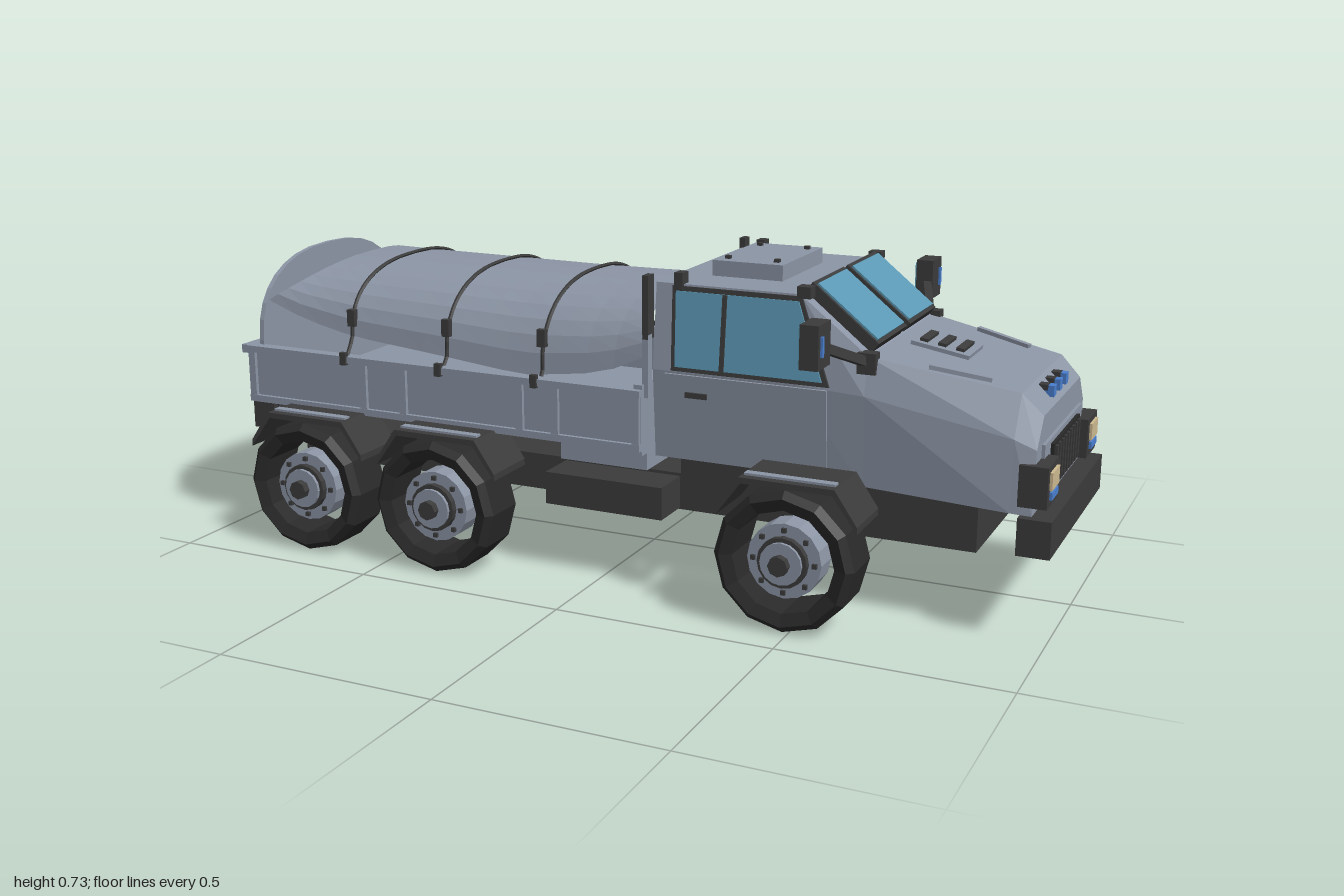
import * as THREE from 'three';

const paint = (name, color) => {
  const m = new THREE.MeshStandardMaterial({ color, flatShading: true });
  m.name = name;
  return m;
};

export function createModel() {
  const grey = paint('bodyGrey', 0x8c95a5), dark = paint('darkTrim', 0x3b3b3b), black = paint('tyreBlack', 0x2a2a2a);
  const glass = paint('glassBlue', 0x5b98b4), cream = paint('lampCream', 0xcdba90), blue = paint('lampBlue', 0x4a7fd0);
  const truck = new THREE.Group();
  truck.name = 'truck';

  const add = (name, geo, mat, x = 0, y = 0, z = 0, rot = [0, 0, 0]) => {
    const m = new THREE.Mesh(geo, mat);
    m.name = name;
    m.position.set(x, y, z);
    m.rotation.set(...rot);
    truck.add(m);
    return m;
  };
  const box = (name, mat, w, h, d, x, y, z, rot) => add(name, new THREE.BoxGeometry(w, h, d), mat, x, y, z, rot);
  // side-profile polygon extruded symmetrically about its own z
  const plate = (pts, depth) => new THREE.ExtrudeGeometry(
    new THREE.Shape(pts.map(p => new THREE.Vector2(...p))), { depth, bevelEnabled: false }).translate(0, 0, -depth / 2);
  // surface through rows of points
  const loft = (rows, caps) => {
    const n = rows[0].length, idx = [];
    for (let i = 0; i < rows.length - 1; i++) for (let j = 0; j < n - 1; j++) {
      const a = i * n + j, b = a + n;
      idx.push(a, b, a + 1, b, b + 1, a + 1);
    }
    if (caps) for (let j = 1; j < n - 2; j++) {
      const e = (rows.length - 1) * n;
      idx.push(0, j, j + 1, e, e + j + 1, e + j);
    }
    const g = new THREE.BufferGeometry();
    g.setAttribute('position', new THREE.Float32BufferAttribute(rows.flat(2), 3));
    g.setIndex(idx);
    const out = g.toNonIndexed();
    out.computeVertexNormals();
    return out;
  };

  // chassis
  box('chassisFrame', dark, 1.71, 0.085, 0.36, -0.025, 0.2, 0);
  box('frontBumper', dark, 0.07, 0.08, 0.53, 0.965, 0.235, 0);
  box('rearBumper', dark, 0.04, 0.05, 0.54, -0.91, 0.285, 0);
  box('bedMount', grey, 0.22, 0.08, 0.4, -0.035, 0.285, 0);
  box('cabMount', dark, 0.68, 0.06, 0.36, 0.49, 0.26, 0);

  // wheels, axles and mudguards
  const tyreProfile = [[0.113, -0.055], [0.14, -0.065], [0.155, -0.05], [0.155, 0.05], [0.14, 0.065], [0.113, 0.055], [0.113, -0.055]]
    .map(p => new THREE.Vector2(...p));
  const tyreGeo = new THREE.LatheGeometry(tyreProfile, 12).rotateX(Math.PI / 2);
  const disc = (r, h, n = 16) => new THREE.CylinderGeometry(r, r, h, n).rotateX(Math.PI / 2);
  const guard = [[-0.155, 0.24], [-0.1, 0.315], [0.1, 0.315], [0.155, 0.24], [0.155, 0.255], [0.105, 0.328], [-0.105, 0.328], [-0.155, 0.255]];
  for (const x of [-0.715, -0.36, 0.485]) {
    add('axle', disc(0.018, 0.62, 8), dark, x, 0.155, 0);
    box('differential', grey, 0.07, 0.035, 0.08, x, 0.14, 0);
    for (const s of [1, -1]) {
      add('tyre', tyreGeo, black, x, 0.16, s * 0.36);
      add('hub', disc(0.082, 0.06), grey, x, 0.16, s * 0.375);
      add('hubRing', disc(0.055, 0.02), dark, x, 0.16, s * 0.41);
      add('hubPlate', disc(0.046, 0.025), grey, x, 0.16, s * 0.415);
      add('hubCap', disc(0.022, 0.05, 8), dark, x, 0.16, s * 0.42);
      for (let k = 0; k < 8; k++) {
        const a = k * Math.PI / 4;
        box('hubBolt', dark, 0.01, 0.01, 0.01, x + 0.068 * Math.cos(a), 0.16 + 0.068 * Math.sin(a), s * 0.407);
      }
      add('mudguard', plate(guard, 0.14), dark, x, 0, s * 0.335);
      box('mudguardStrip', grey, 0.2, 0.006, 0.02, x, 0.33, s * 0.375);
    }
  }

  // load bed
  box('bedFloor', grey, 1.04, 0.03, 0.6, -0.415, 0.335, 0);
  box('bedHeadboard', grey, 0.02, 0.16, 0.6, 0.1, 0.39, 0);
  box('bedTailgate', grey, 0.025, 0.14, 0.6, -0.935, 0.39, 0);
  for (const z of [-0.145, 0.145]) box('tailgatePanel', grey, 0.012, 0.09, 0.25, -0.95, 0.39, z);
  box('tailgateRail', grey, 0.025, 0.02, 0.62, -0.948, 0.45, 0);
  box('towBracket', grey, 0.02, 0.08, 0.05, -0.985, 0.27, 0, [0, 0, -0.25]);
  box('towArm', dark, 0.07, 0.025, 0.03, -0.95, 0.285, 0);
  for (const s of [1, -1]) {
    box('bedSide', grey, 1.05, 0.14, 0.02, -0.415, 0.39, s * 0.295);
    box('bedTopRail', grey, 1.05, 0.016, 0.015, -0.415, 0.452, s * 0.307);
    box('bedBottomRail', grey, 1.05, 0.016, 0.015, -0.415, 0.33, s * 0.307);
    for (const x of [-0.93, -0.61, -0.5, -0.19, -0.1, 0.1]) box('bedPost', grey, 0.018, 0.12, 0.014, x, 0.39, s * 0.307);
    box('cornerPost', dark, 0.014, 0.14, 0.03, 0.113, 0.64, s * 0.275);
    box('headboardPost', grey, 0.014, 0.14, 0.02, 0.113, 0.51, s * 0.28);
    box('sideTank', dark, 0.29, 0.075, 0.1, 0.005, 0.2, s * 0.235);
    // tail lamps
    box('tailLampBox', dark, 0.06, 0.075, 0.1, -0.925, 0.285, s * 0.235);
    box('tailLamp', cream, 0.008, 0.035, 0.06, -0.957, 0.298, s * 0.235);
    box('tailLampStrip', blue, 0.008, 0.014, 0.06, -0.957, 0.266, s * 0.235);
  }

  // tarpaulin: arched section with a lower edge that varies along the bed
  const edge = [[-0.92, 0.575], [-0.8, 0.53], [-0.66, 0.5], [-0.42, 0.478], [-0.2, 0.455], [0, 0.48], [0.11, 0.53]];
  const edgeY = x => {
    const i = Math.max(1, edge.findIndex(p => p[0] >= x));
    return THREE.MathUtils.mapLinear(x, edge[i - 1][0], edge[i][0], edge[i - 1][1], edge[i][1]);
  };
  const arch = (x, a, grow = 0) => {
    const c = Math.cos(a), s = Math.max(0, Math.sin(a)), y0 = edgeY(x);
    return [x, y0 + (0.657 + grow - y0) * s ** 0.85, Math.sign(c) * (0.272 + grow) * Math.abs(c) ** 0.8];
  };
  const rows = [];
  for (let i = 0; i <= 14; i++) {
    rows.push([]);
    for (let j = 0; j <= 16; j++) {
      const a = j / 16 * Math.PI;
      rows[i].push(arch(THREE.MathUtils.lerp(-0.78 - 0.12 * (1 - Math.sin(a)), 0.1, i / 14), a));
    }
  }
  add('tarpaulin', loft(rows), grey);
  for (const x of [-0.66, -0.4, -0.15]) {
    const pts = [[x, 0.44, 0.312]];
    for (let j = 0; j <= 16; j++) pts.push(arch(x, j / 16 * Math.PI, 0.003));
    pts.push([x, 0.44, -0.312]);
    const path = new THREE.CatmullRomCurve3(pts.map(p => new THREE.Vector3(...p)));
    add('strap', new THREE.TubeGeometry(path, 48, 0.005, 5), dark);
    for (const s of [1, -1]) {
      box('strapBuckle', dark, 0.02, 0.04, 0.015, x, 0.545, s * 0.272);
      box('strapHook', dark, 0.016, 0.03, 0.012, x, 0.455, s * 0.314);
    }
  }
  // arched rear panel
  const panel = [[0.29, 0.34]];
  for (let j = 0; j <= 16; j++) {
    const a = j / 16 * Math.PI, c = Math.cos(a);
    panel.push([Math.sign(c) * 0.29 * Math.abs(c) ** 0.8, 0.47 + 0.2 * Math.max(0, Math.sin(a)) ** 0.85]);
  }
  panel.push([-0.29, 0.34]);
  add('rearArchPanel', plate(panel, 0.012), grey, -0.915, 0, 0, [0, Math.PI / 2, 0]);

  // cab hull: x, then bottom, belt and top as y and half width
  const stations = [
    [0.12, 0.3, 0.25, 0.5, 0.265, 0.69, 0.245], [0.45, 0.3, 0.25, 0.5, 0.265, 0.69, 0.245],
    [0.6, 0.292, 0.25, 0.49, 0.262, 0.57, 0.24], [0.91, 0.277, 0.248, 0.43, 0.24, 0.515, 0.19],
    [0.955, 0.275, 0.245, 0.41, 0.23, 0.47, 0.18]];
  add('cabHull', loft(stations.map(([x, yb, zb, ym, zm, yt, zt]) =>
    [[x, yb, zb], [x, ym, zm], [x, yt, zt], [x, yt, -zt], [x, ym, -zm], [x, yb, -zb], [x, yb, zb]]), true), grey);

  // windscreen, side windows, doors, mirrors
  const tilt = 0.896;
  const slope = 0.175;
  const windowPts = [[0.175, 0.012], [0.17, 0.177], [0.45, 0.177], [0.51, 0.012]];
  const framePts = [[0.165, 0.002], [0.16, 0.187], [0.455, 0.187], [0.525, 0.002]];
  for (const s of [1, -1]) {
    box('windscreenFrame', dark, 0.028, 0.19, 0.2, 0.53, 0.641, s * 0.112, [0, 0, tilt]);
    box('windscreenGlass', glass, 0.008, 0.172, 0.184, 0.539, 0.652, s * 0.112, [0, 0, tilt]);
    add('sideWindowFrame', plate(framePts, 0.008), dark, 0, 0.5, s * 0.266, [-s * 0.105, 0, 0]);
    add('sideWindow', plate(windowPts, 0.008), glass, 0, 0.5, s * 0.27, [-s * 0.105, 0, 0]);
    box('windowPost', dark, 0.01, 0.165, 0.008, 0.285, 0.594, s * 0.264, [-s * 0.105, 0, 0]);
    box('door', grey, 0.37, 0.185, 0.008, 0.335, 0.403, s * 0.259, [s * 0.075, 0, 0]);
    box('doorHandle', dark, 0.05, 0.012, 0.014, 0.225, 0.452, s * 0.266);
    box('roofMarker', dark, 0.02, 0.04, 0.03, 0.175, 0.695, s * 0.238);
    box('pillarCap', dark, 0.03, 0.025, 0.03, 0.46, 0.695, s * 0.238);
    box('mirrorBase', dark, 0.04, 0.045, 0.03, 0.6, 0.558, s * 0.24);
    box('mirrorArm', dark, 0.018, 0.02, 0.16, 0.57, 0.587, s * 0.31, [-s * 0.38, -s * 0.33, 0]);
    box('mirror', dark, 0.04, 0.092, 0.072, 0.54, 0.624, s * 0.403);
    box('mirrorLamp', blue, 0.006, 0.042, 0.01, 0.562, 0.625, s * 0.422);
    box('mirrorGlass', glass, 0.006, 0.075, 0.056, 0.518, 0.624, s * 0.403);
    box('hoodSlat', grey, 0.13, 0.012, 0.014, 0.78, 0.541, s * 0.185, [0, s * 0.25, -slope]);
    // headlamps
    box('headlampHousing', dark, 0.06, 0.088, 0.1, 0.955, 0.338, s * 0.2);
    box('headlamp', cream, 0.008, 0.038, 0.066, 0.987, 0.35, s * 0.202);
    box('headlampStrip', blue, 0.008, 0.016, 0.058, 0.987, 0.318, s * 0.202);
  }

  // roof hatch
  box('roofHatch', grey, 0.165, 0.04, 0.255, 0.283, 0.705, 0);
  for (const x of [0.225, 0.34]) for (const z of [-0.095, 0.095]) box('hatchBolt', dark, 0.012, 0.008, 0.012, x, 0.728, z);

  // bonnet vents, bonnet lamps and grille
  box('ventPlate', grey, 0.13, 0.012, 0.12, 0.7, 0.555, 0, [0, 0, -slope]);
  for (const x of [0.66, 0.7, 0.74]) box('ventSlot', dark, 0.018, 0.012, 0.085, x, 0.562 - (x - 0.7) * 0.177, 0, [0, 0, -slope]);
  for (const z of [-0.06, 0, 0.06]) {
    box('lampBracket', dark, 0.025, 0.012, 0.024, 0.925, 0.502, z);
    box('bonnetLamp', blue, 0.03, 0.024, 0.024, 0.935, 0.495, z);
  }
  box('grillePanel', grey, 0.012, 0.125, 0.37, 0.956, 0.348, 0);
  box('grille', black, 0.012, 0.1, 0.262, 0.963, 0.35, 0);
  for (let i = 0; i < 9; i++) box('grilleBar', dark, 0.012, 0.086, 0.014, 0.968, 0.35, (i - 4) * 0.028);

  return truck;
}
